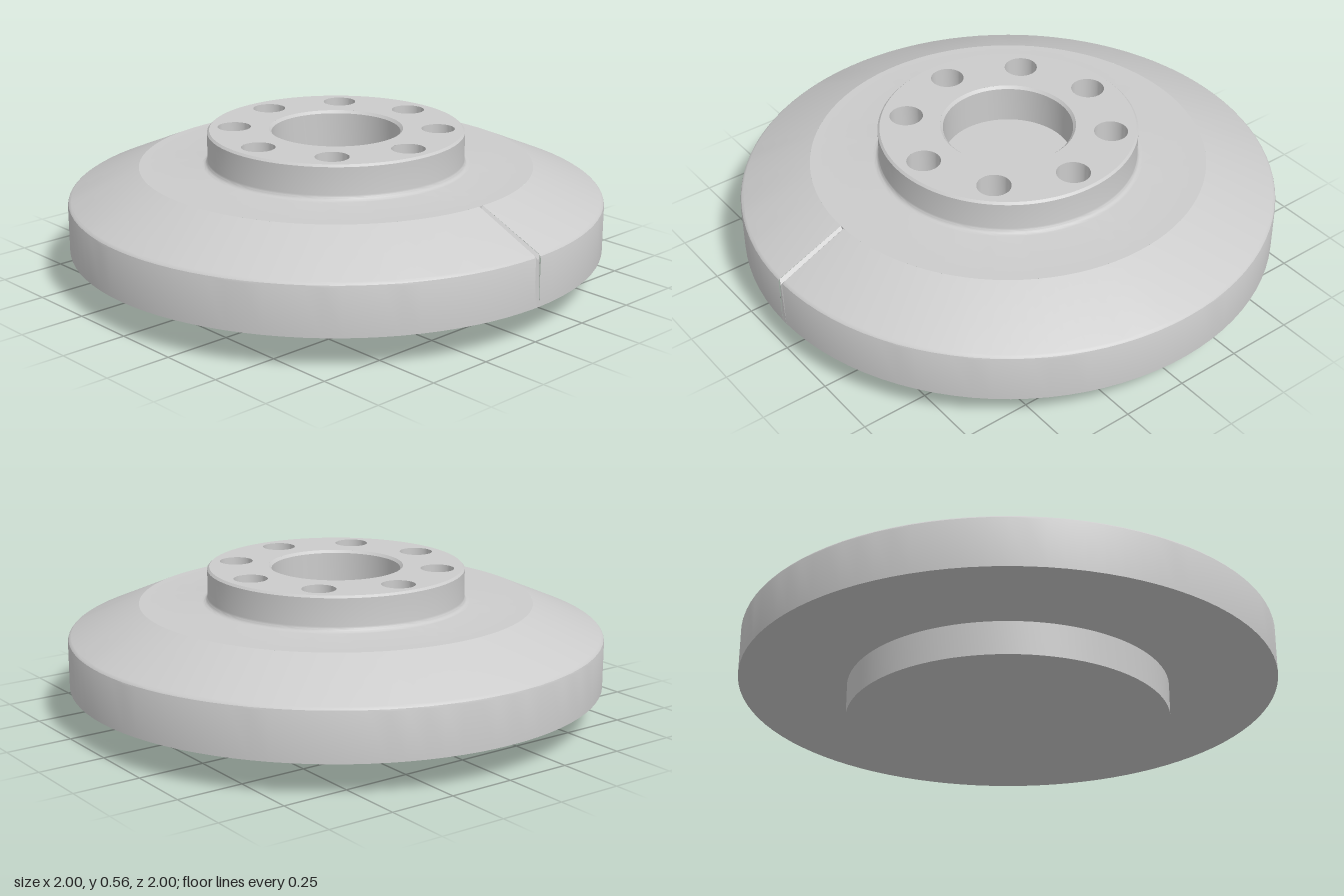
import * as THREE from 'three';
import { toCreasedNormals } from 'three/addons/utils/BufferGeometryUtils.js';

const SEG = 96;
const TOP = 0.555, DECK = 0.425;
const GAP = 0.0125; // half angle of the index groove

export function createModel() {
  const group = new THREE.Group();
  const material = new THREE.MeshStandardMaterial({ color: 0xcccccc });

  const add = (name, geometry, parent = group, mat = material) => {
    const mesh = new THREE.Mesh(geometry, mat);
    mesh.name = name;
    parent.add(mesh);
    return mesh;
  };
  const turned = (profile, seg = SEG, start = 0, length = Math.PI * 2) =>
    toCreasedNormals(new THREE.LatheGeometry(
      profile.map(([r, y]) => new THREE.Vector2(r, y)), seg, start, length), 0.38);

  // Foot and underside of the disc
  add('foot', turned([[0, 0], [0.6, 0], [0.6, 0.125], [1, 0.125]]));

  // Rim and sloped face, left open where the groove sits
  add('rim', turned(
    [[1, 0.125], [1, 0.3], [0.998, 0.307], [0.994, 0.312], [0.988, 0.316], [0.735, DECK]],
    SEG, Math.PI / 2 + GAP, Math.PI * 2 - 2 * GAP));

  // Index groove: V-shaped channel running down the slope at +x
  const at = (r, y, a) => [r * Math.cos(a), y, r * Math.sin(a)];
  const inner = [at(0.735, DECK, GAP), at(0.735, DECK - 0.01, 0), at(0.735, DECK, -GAP)];
  const outer = [at(0.994, 0.312, GAP), at(1, 0.296, 0), at(0.994, 0.312, -GAP)];
  const base = [at(1, 0.125, GAP), at(1, 0.125, 0), at(1, 0.125, -GAP)];
  const corners = [...inner];
  for (let i = 0; i < 2; i++) {
    for (const [a, b] of [[inner, outer], [outer, base]]) {
      corners.push(a[i], b[i], b[i + 1], a[i], b[i + 1], a[i + 1]);
    }
  }
  const groove = new THREE.BufferGeometry();
  groove.setAttribute('position', new THREE.Float32BufferAttribute(corners.flat(), 3));
  groove.computeVertexNormals();
  const thin = material.clone();
  thin.side = THREE.DoubleSide;
  add('indexGroove', groove, group, thin);

  // Flat deck, fillet and hub wall with a chamfered top edge
  const hub = [[0.735, DECK]];
  for (let i = 0; i <= 5; i++) {
    const a = (i / 5) * Math.PI / 2;
    hub.push([0.5 - 0.02 * Math.sin(a), DECK + 0.02 * (1 - Math.cos(a))]);
  }
  hub.push([0.48, 0.547], [0.472, TOP]);
  add('hub', turned(hub));

  // Hub face with the bore and bolt hole openings
  const face = new THREE.Shape().absarc(0, 0, 0.472, 0, Math.PI * 2);
  const cut = (x, y, r) =>
    face.holes.push(new THREE.Path().absarc(x, y, r, 0, Math.PI * 2, true));
  cut(0, 0, 0.25);

  // Drilled bolt holes with conical bottoms
  const boltHoles = new THREE.Group();
  boltHoles.name = 'boltHoles';
  group.add(boltHoles);
  const drill = turned([[0.062, TOP], [0.062, 0.435], [0, 0.4]], 48);
  for (let i = 0; i < 8; i++) {
    const a = (i / 8) * Math.PI * 2;
    const x = 0.38 * Math.cos(a), z = 0.38 * Math.sin(a);
    cut(x, -z, 0.062);
    add('boltHole', drill, boltHoles).position.set(x, 0, z);
  }
  add('hubFace', new THREE.ShapeGeometry(face, SEG).rotateX(-Math.PI / 2).translate(0, TOP, 0));

  // Blind centre bore with a chamfered mouth
  add('centreBore', turned([[0.25, TOP], [0.24, 0.545], [0.24, 0.405], [0, 0.405]]));

  return group;
}
